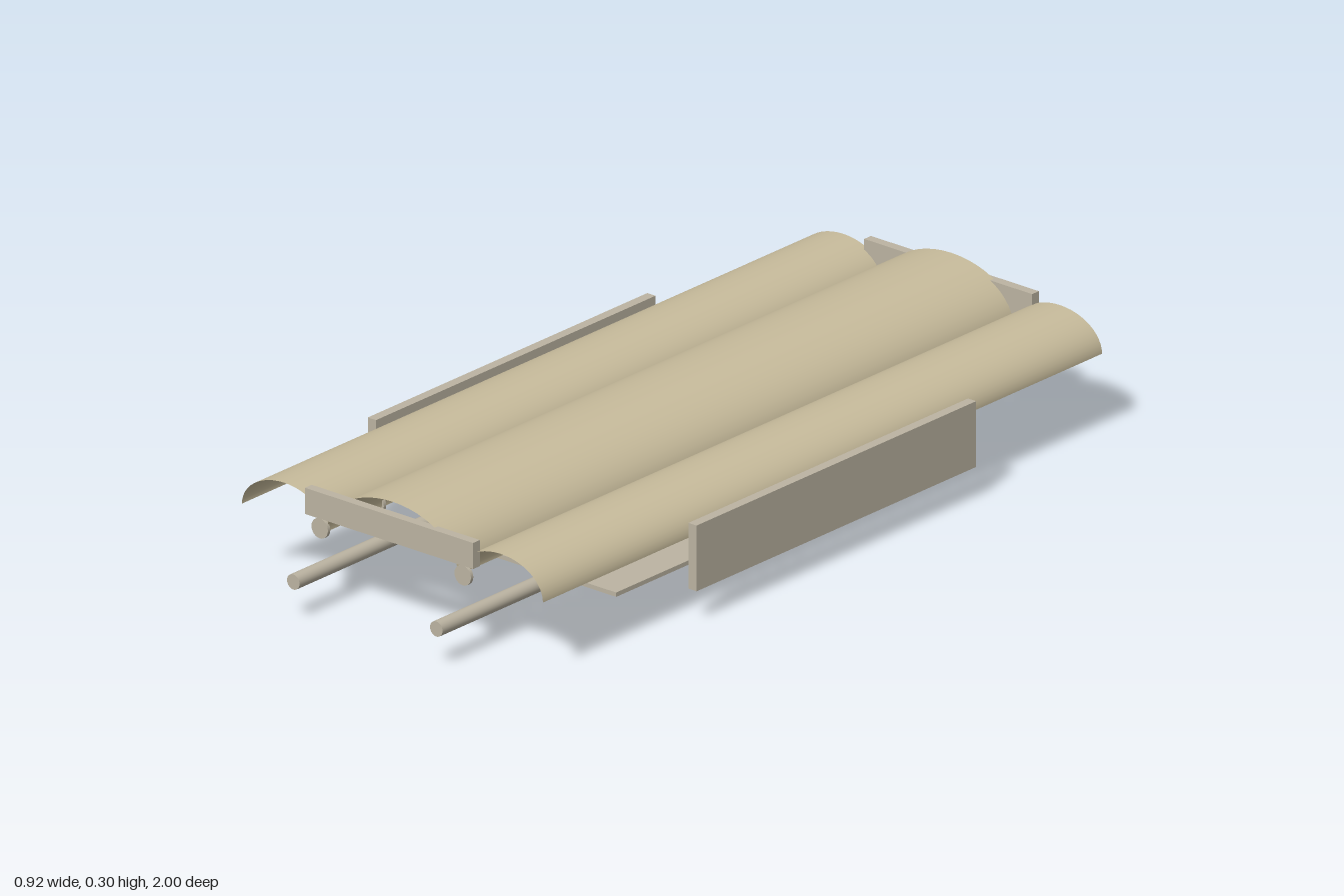
import * as THREE from 'three';

const canopyMat = new THREE.MeshStandardMaterial({ color: 0xc8bc9c, side: THREE.DoubleSide });
const frameMat = new THREE.MeshStandardMaterial({ color: 0xbcb4a2 });

export function createModel() {
  const model = new THREE.Group();

  const add = (name, geometry, material, x, y, z) => {
    const mesh = new THREE.Mesh(geometry, material);
    mesh.name = name;
    mesh.position.set(x, y, z);
    model.add(mesh);
    return mesh;
  };
  const box = (name, w, h, d, x, y, z) => add(name, new THREE.BoxGeometry(w, h, d), frameMat, x, y, z);
  // Cylinder lying along z
  const rod = (name, r, length, x, y, z) =>
    add(name, new THREE.CylinderGeometry(r, r, length, 24).rotateX(Math.PI / 2), frameMat, x, y, z);
  // Thin half-elliptical vault along z, open underneath
  const vault = (name, halfWidth, height, x) => {
    const g = new THREE.CylinderGeometry(1, 1, 1.82, 24, 1, true, Math.PI / 2, Math.PI);
    g.rotateX(Math.PI / 2).scale(halfWidth, height, 1);
    add(name, g, canopyMat, x, 0.18, 0);
  };

  // Three-bay vaulted roof
  vault('centreVault', 0.183, 0.118, 0);
  for (const s of [1, -1]) {
    const side = s > 0 ? 'left' : 'right';
    vault(side + 'Vault', 0.118, 0.08, s * 0.303);

    // Long rail and row of discs under each valley
    rod(side + 'Rail', 0.0175, 2, s * 0.2, 0.088, 0);
    for (let i = -5; i <= 5; i++) rod(side + 'ValleyDisc', 0.023, 0.008, s * 0.2, 0.184, i * 0.182);

    // Upright side panel
    box(side + 'Panel', 0.023, 0.151, 0.91, s * 0.4485, 0.149, 0);

    // Cross beam at each end of the roof
    box(s > 0 ? 'frontBeam' : 'backBeam', 0.47, 0.06, 0.022, 0, 0.24, s * 0.91);
  }

  // Floor plate
  box('floorPlate', 0.47, 0.01, 0.91, 0, 0.005, 0);

  return model;
}
